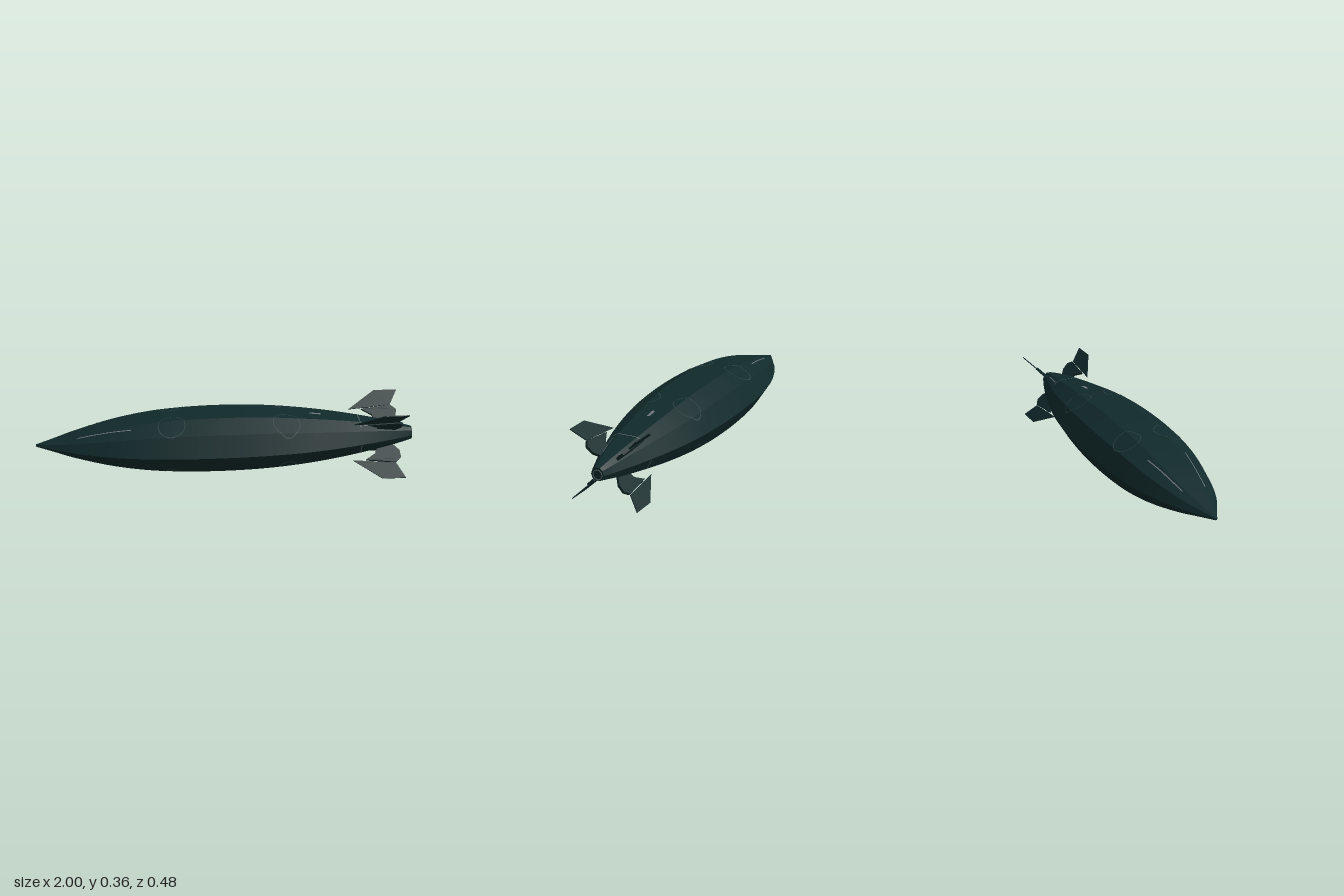
import * as THREE from 'three';
import { mergeGeometries } from 'three/addons/utils/BufferGeometryUtils.js';

const AXIS = 0.181;
const paint = (name, color, side = THREE.FrontSide) => {
  const m = new THREE.MeshStandardMaterial({ color, side });
  m.name = name;
  return m;
};

// Hull stations: x, half width, height above the axis
const stations = new THREE.CatmullRomCurve3([
  [-1, 0.006, 0.006], [-0.9, 0.062, 0.032], [-0.8, 0.115, 0.06], [-0.6, 0.185, 0.109],
  [-0.4, 0.222, 0.142], [-0.2, 0.237, 0.157], [0, 0.239, 0.161], [0.2, 0.23, 0.155],
  [0.4, 0.208, 0.138], [0.6, 0.166, 0.113], [0.8, 0.107, 0.08], [0.9, 0.073, 0.06], [0.998, 0.035, 0.036],
].map(p => new THREE.Vector3(...p))).getPoints(60);

// Ten-sided cross-section as fractions of half width and height
const upper = [[0.375, 1], [0.79, 0.67], [1, 0]];
const lower = [[0.335, -0.79], [0.75, -0.62], [1, 0]];
const half = [...upper, lower[1], lower[0]];
const section = [...half, ...half.map(([z, y]) => [-z, y]).reverse()];

// Flat facets around, smooth lengthwise, plus both end caps
function hullGeometry() {
  const strips = section.map((a, j) => {
    const b = section[(j + 1) % section.length];
    const pos = [], idx = [];
    stations.forEach((s, i) => {
      for (const [z, y] of [a, b]) pos.push(s.x, AXIS + y * s.z, z * s.y);
      if (i) {
        const k = 2 * i - 2;
        idx.push(k, k + 1, k + 2, k + 1, k + 3, k + 2);
      }
    });
    // End cap triangles with their own corners
    for (const [s, p, q] of [[stations[0], a, b], [stations.at(-1), b, a]]) {
      const k = pos.length / 3;
      pos.push(s.x, AXIS, 0);
      for (const [z, y] of [p, q]) pos.push(s.x, AXIS + y * s.z, z * s.y);
      idx.push(k, k + 2, k + 1);
    }
    const g = new THREE.BufferGeometry();
    g.setAttribute('position', new THREE.Float32BufferAttribute(pos, 3));
    g.setIndex(idx);
    g.computeVertexNormals();
    return g;
  });
  return mergeGeometries(strips);
}

// Height of the hull skin at (x, z), above or below
function skin(x, z, side) {
  const i = Math.max(1, stations.findIndex(s => s.x >= x));
  const a = stations[i - 1], b = stations[i];
  const s = a.clone().lerp(b, (x - a.x) / (b.x - a.x));
  const f = Math.min(1, Math.abs(z) / s.y);
  const rows = side > 0 ? upper : lower;
  let y = rows[0][1];
  for (let k = 1; k < rows.length; k++) {
    const [z0, y0] = rows[k - 1], [z1, y1] = rows[k];
    if (f >= z0) y = y0 + (y1 - y0) * (f - z0) / (z1 - z0);
  }
  return AXIS + y * s.z + side * 0.002;
}

// Thin strip laid on the skin along a path of [x, z]
function ribbon(path, width, side) {
  const pos = [], idx = [];
  path.forEach(([x, z], i) => {
    const p = path[Math.max(0, i - 1)], q = path[Math.min(path.length - 1, i + 1)];
    const l = Math.hypot(q[0] - p[0], q[1] - p[1]);
    const nx = -(q[1] - p[1]) / l * width / 2, nz = (q[0] - p[0]) / l * width / 2;
    for (const e of [1, -1]) pos.push(x + e * nx, skin(x + e * nx, z + e * nz, side), z + e * nz);
    const k = 2 * i - 2;
    if (i) idx.push(k, k + 2, k + 1, k + 1, k + 2, k + 3);
  });
  const g = new THREE.BufferGeometry();
  g.setAttribute('position', new THREE.Float32BufferAttribute(pos, 3));
  g.setIndex(side > 0 ? idx.map((_, i) => idx[i - i % 3 + 2 - i % 3]) : idx);
  g.computeVertexNormals();
  return g;
}
const line = (x0, z0, x1, z1, n = 12) =>
  Array.from({ length: n + 1 }, (_, i) => [x0 + (x1 - x0) * i / n, z0 + (z1 - z0) * i / n]);

// Flat plate outlined in (x, radius), centred on its thickness
function plate(points, thickness) {
  const shape = new THREE.Shape(points.map(p => new THREE.Vector2(...p)));
  return new THREE.ExtrudeGeometry(shape, { depth: thickness, bevelEnabled: false })
    .translate(0, 0, -thickness / 2);
}

export function createModel() {
  const model = new THREE.Group();
  const hullPaint = paint('darkTeal', 0x112a2b);
  const seamPaint = paint('seamGrey', 0x34484a, THREE.DoubleSide);
  const slotPaint = paint('slotGrey', 0x6c7678, THREE.DoubleSide);
  const add = (parent, name, geo, mat) => {
    const m = new THREE.Mesh(geo, mat);
    m.name = name;
    parent.add(m);
    return m;
  };

  add(model, 'hull', hullGeometry(), hullPaint);

  // Four diagonal tail fins, each on a short pylon with a hinge rod
  const finShape = plate([[0.67, 0.146], [0.82, 0.2535], [0.945, 0.2535], [0.9, 0.166]], 0.005);
  const pylonShape = plate([[0.81, 0.06], [0.795, 0.11], [0.74, 0.146], [0.9, 0.164],
    [0.93, 0.138], [0.925, 0.098], [0.88, 0.05]], 0.014);
  const rodShape = new THREE.CylinderGeometry(0.008, 0.008, 0.14, 8)
    .rotateZ(Math.PI / 2).translate(0.83, 0.145, 0);
  for (let i = 0; i < 4; i++) {
    const tail = new THREE.Group();
    tail.name = 'tailFin' + (i + 1);
    add(tail, 'fin', finShape, hullPaint);
    add(tail, 'pylon', pylonShape, hullPaint);
    add(tail, 'hingeRod', rodShape, hullPaint);
    tail.position.y = AXIS;
    tail.rotation.x = Math.PI / 4 + i * Math.PI / 2;
    model.add(tail);
  }

  // Exhaust ring on the tail end
  add(model, 'exhaustRing', new THREE.TorusGeometry(0.024, 0.002, 6, 32)
    .rotateY(Math.PI / 2).translate(0.998, AXIS, 0), slotPaint);

  for (const s of [1, -1]) {
    // Round hatch outlines above and below
    for (const side of [1, -1]) {
      for (const x of [-0.29, 0.31]) {
        const circle = Array.from({ length: 41 }, (_, i) => {
          const a = i / 40 * Math.PI * 2;
          return [x + 0.07 * Math.cos(a), s * 0.115 + 0.07 * Math.sin(a)];
        });
        add(model, 'hatchSeam', ribbon(circle, 0.003, side), seamPaint);
      }
    }
    // Nose slots and tail slots
    add(model, 'noseSlot', ribbon(line(-0.78, s * 0.062, -0.5, s * 0.105), 0.005, 1), slotPaint);
    add(model, 'tailSlot', ribbon(line(0.73, s * 0.07, 0.87, s * 0.045), 0.005, 1), slotPaint);
    add(model, 'lowerTailSeam', ribbon(line(0.71, s * 0.06, 0.71, s * 0.132), 0.004, -1), slotPaint);
  }

  // Seam across the back and a small vent
  add(model, 'tailSeam', ribbon(line(0.71, -0.085, 0.71, 0.085), 0.004, 1), slotPaint);
  add(model, 'vent', ribbon(line(0.445, 0, 0.505, 0, 3), 0.016, 1), slotPaint);

  return model;
}
